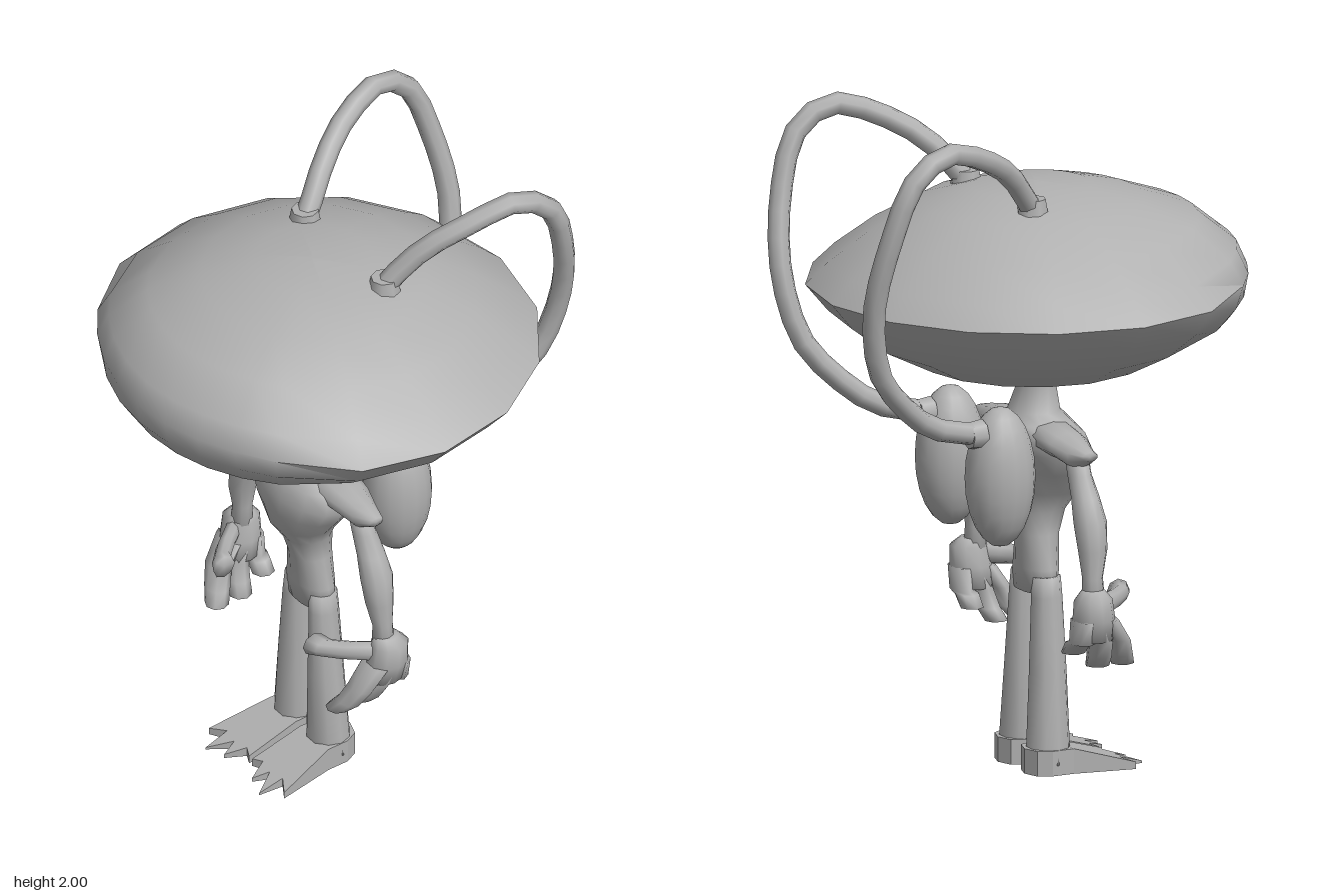
import * as THREE from 'three';
import { toCreasedNormals } from 'three/addons/utils/BufferGeometryUtils.js';

const grey = new THREE.MeshStandardMaterial({ color: 0xb0b0b0 });
grey.name = 'plain grey';

// Reverse triangle order of an indexed geometry
function flip(geo) {
  const a = geo.index.array;
  for (let i = 0; i < a.length; i += 3) [a[i], a[i + 1]] = [a[i + 1], a[i]];
  return geo;
}

// Closed skin over rows of points, capped at both ends, always facing outwards
function skin(rows) {
  const n = rows[0].length, pts = rows.flat(), idx = [];
  for (let r = 0; r < rows.length - 1; r++) {
    for (let i = 0; i < n; i++) {
      const a = r * n + i, b = r * n + (i + 1) % n;
      idx.push(a, b, a + n, b, b + n, a + n);
    }
  }
  [0, rows.length - 1].forEach((r, end) => {
    const centre = new THREE.Vector3();
    rows[r].forEach(p => centre.addScaledVector(p, 1 / n));
    const c = pts.push(centre) - 1;
    for (let i = 0; i < n; i++) {
      const a = r * n + i, b = r * n + (i + 1) % n;
      idx.push(c, ...(end ? [a, b] : [b, a]));
    }
  });
  const geo = new THREE.BufferGeometry().setFromPoints(pts);
  geo.setIndex(idx);
  let volume = 0;
  const cross = new THREE.Vector3();
  for (let i = 0; i < idx.length; i += 3) {
    volume += pts[idx[i]].dot(cross.crossVectors(pts[idx[i + 1]], pts[idx[i + 2]]));
  }
  if (volume < 0) flip(geo);
  geo.computeVertexNormals();
  return geo;
}

// Elliptical rings [x, y, z, radiusA, radiusB] square to the given axis
function limb(rings, axis = 'y', sides = 10) {
  return skin(rings.map(([x, y, z, a, b]) => Array.from({ length: sides }, (_, i) => {
    const t = i / sides * Math.PI * 2, u = a * Math.cos(t), v = b * Math.sin(t);
    return axis === 'y' ? new THREE.Vector3(x + u, y, z + v) : new THREE.Vector3(x, y + u, z + v);
  })));
}

// Lens-shaped head: sharp rim at sides and back, blunt rim at the front
function headGeometry() {
  const sharp = [[.02, .295], [.27, .28], [.5, .237], [.72, .155], [.9, .065], [1, 0],
    [.9, -.08], [.72, -.17], [.5, -.243], [.24, -.283], [.02, -.29]];
  const blunt = [[.02, .295], [.27, .285], [.52, .245], [.77, .19], [.95, .1], [1, .03],
    [.985, -.04], [.92, -.105], [.72, -.18], [.42, -.25], [.02, -.29]];
  const angles = [];
  for (let d = 0; d < 360; d += d >= 45 && d < 135 ? 11.25 : 22.5) angles.push(d * Math.PI / 180);
  return toCreasedNormals(skin(sharp.map(([rs, hs], k) => angles.map(t => {
    const w = THREE.MathUtils.smoothstep(Math.sin(t), .2, .95);
    const r = THREE.MathUtils.lerp(rs, blunt[k][0], w) * .67 * (1 - .07 * w);
    const h = THREE.MathUtils.lerp(hs, blunt[k][1], w);
    return new THREE.Vector3(r * Math.cos(t), 1.46 + h, .05 + r * Math.sin(t));
  }))), 0.95);
}

// Webbed foot: flat outline with pointed toes, top sloping down to the tips
function footGeometry() {
  const outline = [[.03, -.01], [.015, .03], [.012, .1], [.008, .27], [.04, .255], [.07, .315],
    [.09, .265], [.135, .335], [.14, .255], [.19, .285], [.152, .1], [.15, .03], [.13, -.01], [.08, -.026]];
  const geo = new THREE.ExtrudeGeometry(
    new THREE.Shape(outline.map(([x, z]) => new THREE.Vector2(x, -z))), { depth: 1, bevelEnabled: false });
  geo.rotateX(-Math.PI / 2);
  const p = geo.attributes.position;
  for (let i = 0; i < p.count; i++) {
    const slope = THREE.MathUtils.clamp((p.getZ(i) - .1) / .235, 0, 1);
    p.setY(i, p.getY(i) > .5 ? .075 - .068 * slope : 0);
  }
  geo.computeVertexNormals();
  return geo;
}

export function createModel() {
  const model = new THREE.Group();
  model.name = 'creature';
  const add = (name, geo) => {
    const mesh = new THREE.Mesh(geo, grey);
    mesh.name = name;
    model.add(mesh);
  };
  // Left part and its mirrored right twin
  const addPair = (name, geo) => {
    add('left' + name, geo);
    const twin = geo.clone();
    if (!twin.index) twin.setIndex([...Array(twin.attributes.position.count).keys()]);
    add('right' + name, flip(twin.scale(-1, 1, 1)));
  };

  add('head', headGeometry());

  // Neck, chest, waist and hips
  add('torso', limb([
    [0, 1.22, .06, .065, .045], [0, 1.15, .06, .07, .05], [0, 1.07, .05, .085, .075],
    [0, 1.04, .055, .12, .1], [0, 1.01, .065, .19, .115], [0, .96, .08, .205, .12],
    [0, .9, .085, .165, .115], [0, .83, .085, .11, .1], [0, .77, .07, .073, .075],
    [0, .7, .06, .072, .062], [0, .6, .056, .092, .058], [0, .53, .055, .1, .052],
  ], 'y', 14));

  // Shoulder point and arm
  addPair('Shoulder', limb([
    [.08, 1.01, .055, .045, .08], [.2, 1.0, .055, .04, .065],
    [.27, .985, .055, .04, .045], [.33, .995, .055, .014, .025],
  ], 'x'));
  addPair('Arm', limb([
    [.245, .99, .055, .04, .035], [.265, .93, .055, .04, .035], [.3, .87, .055, .042, .042],
    [.33, .8, .055, .047, .05], [.345, .72, .055, .04, .044], [.353, .64, .05, .029, .031],
    [.357, .57, .05, .033, .035],
  ]));

  // Hand: palm, three fingers and a thumb
  addPair('Palm', limb([
    [.365, .605, .045, .035, .035], [.375, .58, .04, .053, .058],
    [.37, .52, .045, .06, .064], [.362, .455, .05, .05, .06],
  ]));
  [[.085, .175, .36], [.05, .092, .362], [.01, .012, .41]].forEach(([z0, z1, tip], i) => {
    addPair('Finger' + (i + 1), limb([
      [.37, .52, z0, .055, .03], [.36, .45, (z0 + z1) / 2, .048, .034],
      [.335, tip + .035, z0 * .25 + z1 * .75, .042, .036], [.305, tip, z1, .036, .036],
    ], 'y', 8));
  });
  addPair('Thumb', limb([
    [.38, .555, .05, .035, .04], [.31, .553, .14, .03, .036],
    [.26, .553, .19, .028, .034], [.225, .553, .205, .036, .038],
  ], 'x', 8));

  // Leg and foot
  addPair('Leg', limb([
    [.06, .58, .056, .04, .045], [.066, .52, .056, .038, .048], [.074, .3, .055, .054, .056],
    [.081, .08, .052, .068, .064], [.082, .03, .048, .07, .068],
  ]));
  addPair('Foot', footGeometry());

  // Back pod, joined to the head by a looping tube
  addPair('BackPod', new THREE.SphereGeometry(1, 16, 12).scale(.1, .21, .105).translate(.15, .922, -.145));
  const path = new THREE.CatmullRomCurve3([
    [.195, 1.71, -.055], [.215, 1.77, -.1], [.255, 1.85, -.17], [.31, 1.92, -.28], [.35, 1.965, -.43],
    [.358, 1.9, -.54], [.335, 1.73, -.605], [.28, 1.5, -.635], [.235, 1.3, -.59],
    [.205, 1.2, -.51], [.17, 1.1, -.38], [.155, 1.055, -.2],
  ].map(p => new THREE.Vector3(...p)));
  addPair('Tube', new THREE.TubeGeometry(path, 22, .033, 8));
  addPair('HeadCollar', new THREE.CylinderGeometry(.04, .048, .045, 8).translate(.2, 1.735, -.065));
  addPair('PodCollar', new THREE.CylinderGeometry(.04, .046, .045, 8)
    .rotateX(-Math.PI / 2).translate(.155, 1.058, -.23));

  return model;
}
